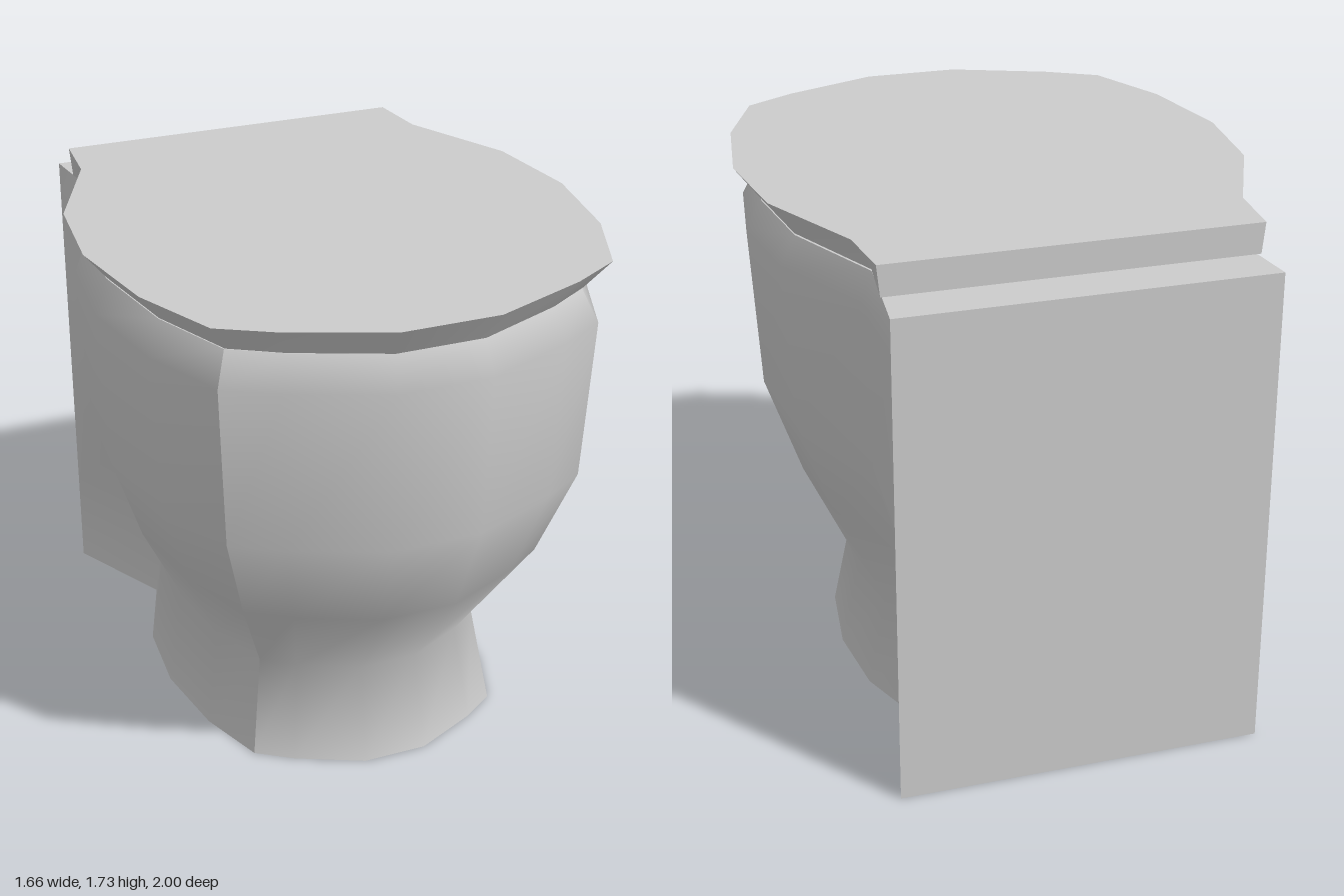
import * as THREE from 'three';
import { mergeGeometries } from 'three/addons/utils/BufferGeometryUtils.js';

// Half plan of the seat from back to front (+x side), before the back corner
const OUTLINE = [[0.62, -0.63], [0.79, -0.25], [0.83, 0.11], [0.77, 0.48], [0.65, 0.77], [0.48, 0.87], [0.16, 1]];
const HINGE_Z = -0.63;

// Closed ring at height y, scaled to a half width and a front depth, joined to a back corner
function ring(y, halfWidth, front, backX, backZ) {
  const sx = halfWidth / 0.83;
  const sz = (front - HINGE_Z) / (1 - HINGE_Z);
  const half = [new THREE.Vector3(backX, y, backZ)];
  for (const [x, z] of OUTLINE) half.push(new THREE.Vector3(x * sx, y, HINGE_Z + (z - HINGE_Z) * sz));
  const mirrored = half.map((p) => new THREE.Vector3(-p.x, p.y, p.z)).reverse();
  return [...half, ...mirrored];
}

function toGeometry(points, index) {
  const g = new THREE.BufferGeometry().setFromPoints(points);
  g.setIndex(index);
  g.computeVertexNormals();
  return g;
}

// Smooth wall between two columns of the rings
function panel(rings, from, to) {
  const n = to - from + 1;
  const points = [];
  const index = [];
  for (const r of rings) for (let i = from; i <= to; i++) points.push(r[i % r.length]);
  for (let j = 0; j < rings.length - 1; j++) {
    for (let i = 0; i < n - 1; i++) {
      const a = j * n + i;
      index.push(a, a + n, a + 1, a + 1, a + n, a + n + 1);
    }
  }
  return toGeometry(points, index);
}

// Flat fan closing a ring
function cap(r, up) {
  const points = [new THREE.Vector3(0, r[0].y, 0), ...r];
  const index = [];
  for (let i = 0; i < r.length; i++) {
    const a = i + 1;
    const b = ((i + 1) % r.length) + 1;
    index.push(0, ...(up ? [b, a] : [a, b]));
  }
  return toGeometry(points, index);
}

// Solid with sharp edges between its two sides, front and back
function loft(name, rings, material) {
  const walls = [[0, 5], [5, 10], [10, 15], [15, 16]].map(([a, b]) => panel(rings, a, b));
  const geometry = mergeGeometries([...walls, cap(rings[0], false), cap(rings[rings.length - 1], true)]);
  const mesh = new THREE.Mesh(geometry, material);
  mesh.name = name;
  return mesh;
}

export function createModel() {
  const group = new THREE.Group();
  group.name = 'toilet';
  const material = new THREE.MeshStandardMaterial({ color: 0xcccccc });

  // Bowl: height, half width, front depth; the back stays a flat upright wall
  const levels = [
    [0, 0.56, 0.67], [0.33, 0.5, 0.6], [0.66, 0.66, 0.83],
    [0.98, 0.77, 0.95], [1.52, 0.8, 0.975], [1.625, 0.75, 0.92],
  ];
  group.add(loft('bowl', levels.map(([y, w, f]) => ring(y, w, f, 0.6, -1)), material));

  // Lid: flares outwards towards the top
  group.add(loft('lid', [
    ring(1.63, 0.75, 0.93, 0.59, -0.85),
    ring(1.73, 0.83, 1, 0.6, -0.85),
  ], material));

  return group;
}
